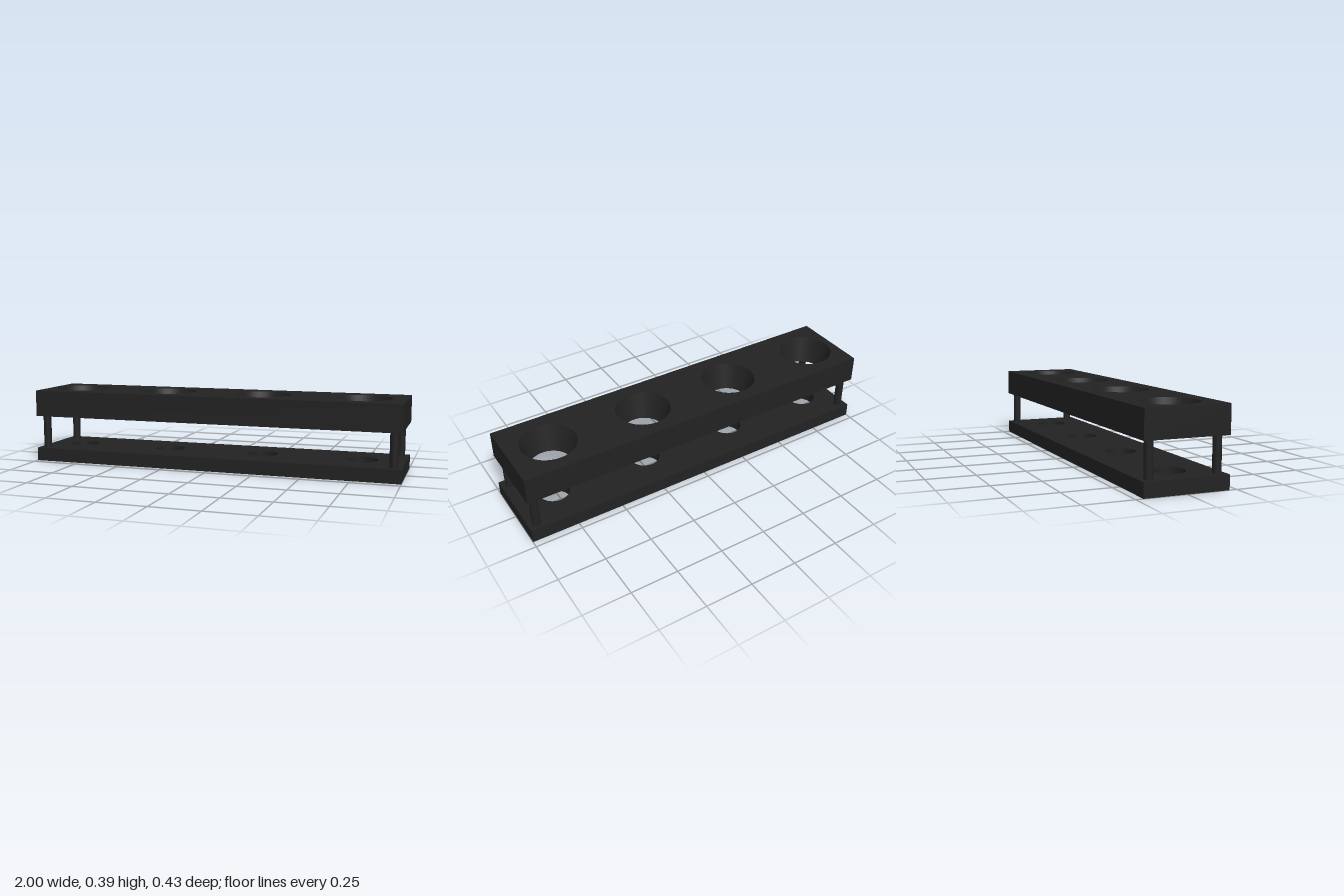
import * as THREE from 'three';
import { mergeGeometries } from 'three/addons/utils/BufferGeometryUtils.js';

const HALF_W = 1, HALF_D = 0.213;
const HOLES = [-0.818, -0.285, 0.248, 0.781];

// Flat rectangle with round holes, facing up or down at height y
function face(y, radius, up) {
  const s = new THREE.Shape();
  s.moveTo(-HALF_W, -HALF_D);
  s.lineTo(HALF_W, -HALF_D);
  s.lineTo(HALF_W, HALF_D);
  s.lineTo(-HALF_W, HALF_D);
  s.closePath();
  for (const x of HOLES) {
    s.holes.push(new THREE.Path().absarc(x, 0, radius, 0, Math.PI * 2, true));
  }
  return new THREE.ShapeGeometry(s, 24)
    .rotateX(up ? -Math.PI / 2 : Math.PI / 2)
    .translate(0, y, 0);
}

// Plate from y0 to y1 whose holes may taper from rTop to rBottom
function plateGeometry(y0, y1, rBottom, rTop) {
  const h = y1 - y0, mid = (y0 + y1) / 2;
  const parts = [face(y1, rTop, true), face(y0, rBottom, false)];
  // Outer walls
  for (let i = 0; i < 4; i++) {
    const along = i % 2 === 0;
    parts.push(new THREE.PlaneGeometry(2 * (along ? HALF_W : HALF_D), h)
      .translate(0, mid, along ? HALF_D : HALF_W)
      .rotateY(i * Math.PI / 2));
  }
  // Hole walls, profile runs downward so they face inward
  for (const x of HOLES) {
    const profile = [new THREE.Vector2(rTop, y1), new THREE.Vector2(rBottom, y0)];
    parts.push(new THREE.LatheGeometry(profile, 48).translate(x, 0, 0));
  }
  return mergeGeometries(parts);
}

export function createModel() {
  const group = new THREE.Group();
  const black = new THREE.MeshStandardMaterial({ color: 0x222222 });
  black.name = 'black plastic';

  const add = (name, geometry) => {
    const mesh = new THREE.Mesh(geometry, black);
    mesh.name = name;
    group.add(mesh);
    return mesh;
  };

  add('basePlate', plateGeometry(0, 0.072, 0.08, 0.08));
  add('topPlate', plateGeometry(0.25, 0.392, 0.107, 0.144));

  // Corner posts
  for (const sx of [-1, 1]) {
    for (const sz of [-1, 1]) {
      add('cornerPost', new THREE.CylinderGeometry(0.0213, 0.0213, 0.178, 32, 1, true))
        .position.set(sx * 0.957, 0.161, sz * 0.17);
    }
  }
  return group;
}
